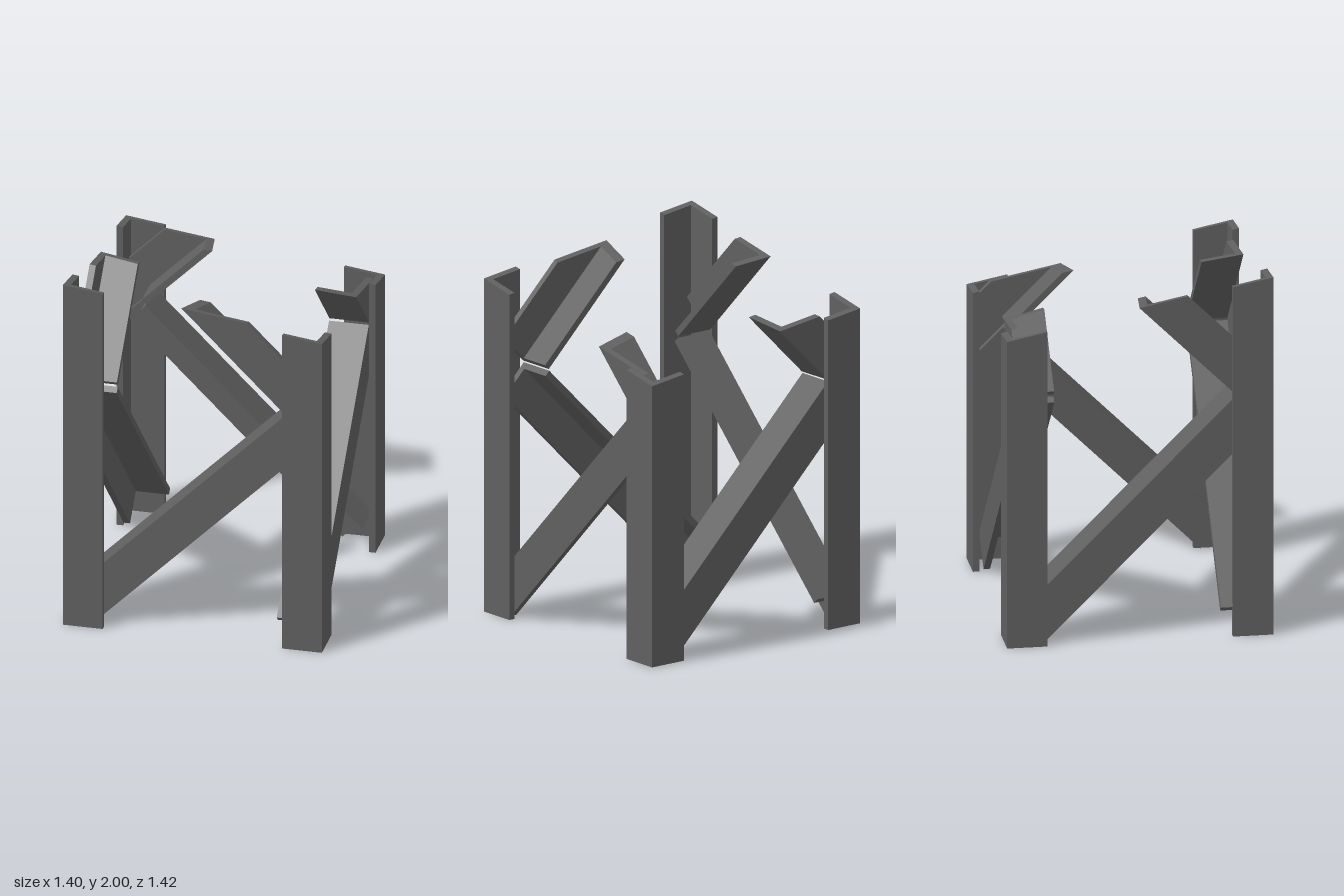
import * as THREE from 'three';

const V = (x, y, z) => new THREE.Vector3(x, y, z);
const LEG = 0.215, THICK = 0.035;
const material = new THREE.MeshStandardMaterial({ color: 0x606060 });

// Sloping plane that cuts off the top of the tower: y = TOP - SX * x + SZ * z
const TOP = 1.766, SX = 0.131, SZ = 0.2;
const cutNormal = V(SX, 1, -SZ);
const distanceToCut = (p, axis) => (TOP - cutNormal.dot(p)) / cutNormal.dot(axis);

// L-section steel bar: outer corner line starts at `start` and runs along `axis`,
// with legs pointing along u and v. Without a length it runs up to the sloping cut.
function angleBar(name, start, axis, u, v, length) {
  if (u.clone().cross(v).dot(axis) < 0) [u, v] = [v, u];
  const profile = new THREE.Shape([
    [0, 0], [LEG, 0], [LEG, THICK], [THICK, THICK], [THICK, LEG], [0, LEG],
  ].map(([a, b]) => new THREE.Vector2(a, b)));
  const geometry = new THREE.ExtrudeGeometry(profile, { depth: 1, bevelEnabled: false });
  const pos = geometry.attributes.position;
  for (let i = 0; i < pos.count; i++) {
    const p = start.clone().addScaledVector(u, pos.getX(i)).addScaledVector(v, pos.getY(i));
    if (pos.getZ(i) > 0.5) p.addScaledVector(axis, length ?? distanceToCut(p, axis));
    pos.setXYZ(i, p.x, p.y, p.z);
  }
  geometry.computeVertexNormals();
  const mesh = new THREE.Mesh(geometry, material);
  mesh.name = name;
  return mesh;
}

export function createModel() {
  const tower = new THREE.Group();
  tower.name = 'trussTower';
  const up = V(0, 1, 0);

  // Corner posts
  for (const sx of [-1, 1]) for (const sz of [-1, 1]) {
    const name = (sz > 0 ? 'front' : 'back') + (sx > 0 ? 'Left' : 'Right') + 'Post';
    tower.add(angleBar(name, V(sx * 0.7, 0, sz * 0.708), up, V(-sx, 0, 0), V(0, 0, -sz)));
  }

  // Each side: outward normal, depth of the outer face, end of lower and upper brace
  const sides = [
    ['front', V(0, 0, 1), 0.645, 0.482, 0.485],
    ['left', V(1, 0, 0), 0.663, 0.497, 0.505],
    ['back', V(0, 0, -1), 0.65, 0.53, 0.525],
    ['right', V(-1, 0, 0), 0.665, 0.515, 0.51],
  ];
  const low = 0.162, high = 1.335, rise = high - low;
  for (const [side, out, depth, lowerEnd, upperEnd] of sides) {
    const across = V(out.z, 0, -out.x);
    const inward = out.clone().negate();
    const at = (s, y) => out.clone().multiplyScalar(depth).addScaledVector(across, s).setY(y);
    const diagonal = (s, y) => across.clone().multiplyScalar(s).addScaledVector(up, y).normalize();

    // Lower brace rises across the whole side, inner flange along its upper edge
    tower.add(angleBar(side + 'LowerBrace', at(lowerEnd - rise, low),
      diagonal(1, 1), diagonal(1, -1), inward, rise * Math.SQRT2));
    // Upper brace turns back and is cut short, inner flange along its lower edge
    tower.add(angleBar(side + 'UpperBrace', at(upperEnd, high + 0.01),
      diagonal(-1, 1), diagonal(1, 1), inward));
  }
  return tower;
}
